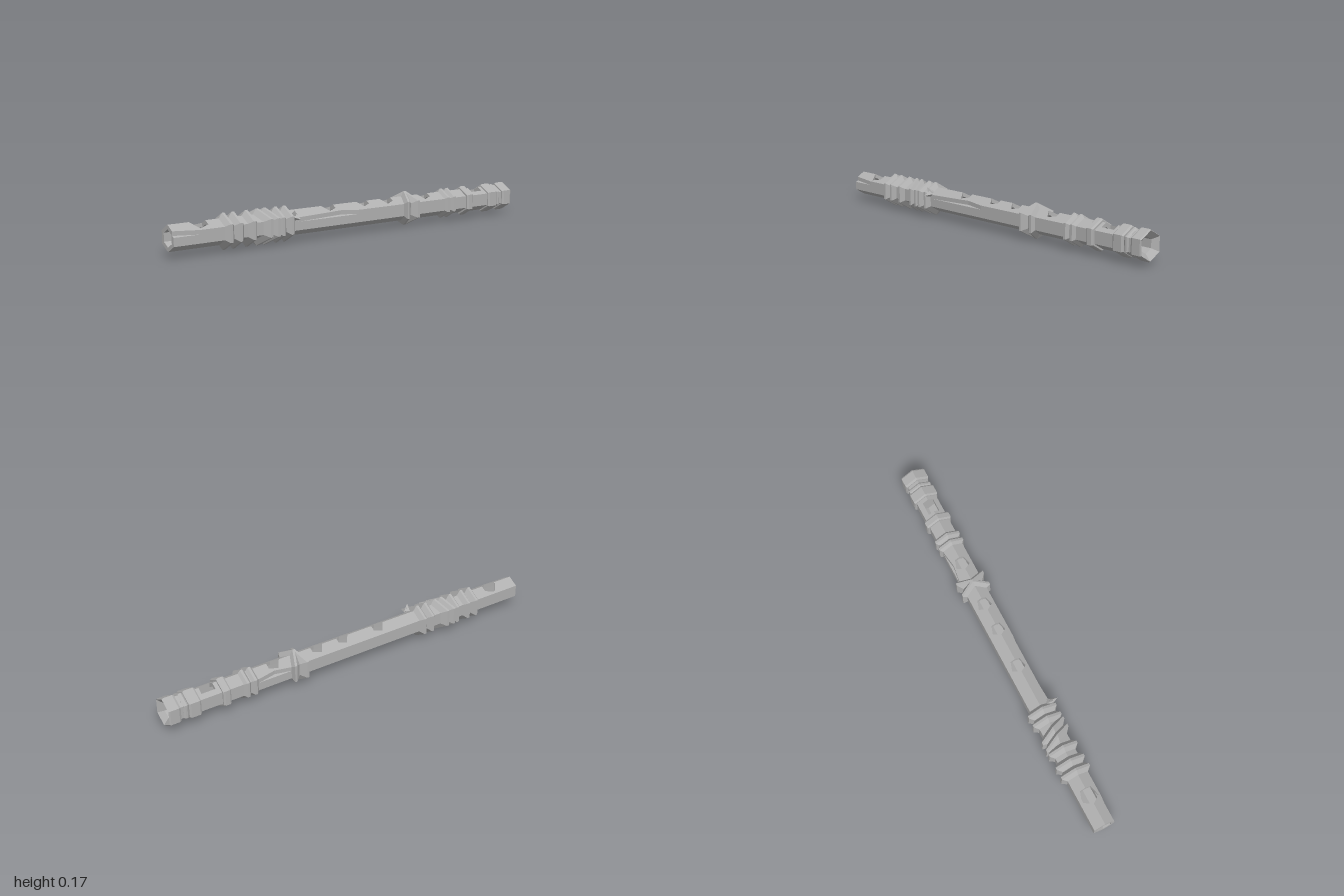
import * as THREE from 'three';

const R = 0.06, BORE = 0.04, SLOPE = Math.tan(Math.PI / 6), SIDE = R * Math.cos(Math.PI / 6);

export function createModel() {
  const model = new THREE.Group();
  const grey = new THREE.MeshStandardMaterial({ color: 0xb0b0b0 });
  grey.name = 'grey wood';
  grey.flatShading = true;

  const add = (name, geometry) => {
    geometry.computeVertexNormals();
    const mesh = new THREE.Mesh(geometry, grey);
    mesh.name = name;
    model.add(mesh);
    return mesh;
  };

  // Lower four walls of the hollow six-sided tube
  const y = R / 2;
  const section = new THREE.Shape([
    [SIDE, y - 0.02], [SIDE, -y], [0, -R], [-SIDE, -y], [-SIDE, y - 0.02],
    [-0.0346, 0.02], [-0.0346, -0.02], [0, -BORE], [0.0346, -0.02], [0.0346, 0.02],
  ].map(p => new THREE.Vector2(...p)));
  const walls = new THREE.ExtrudeGeometry(section, { depth: 1.96, bevelEnabled: false });
  add('lowerWalls', walls.rotateY(Math.PI / 2).translate(-1, 0, 0));

  // Sloping top slabs: five finger holes and a square window bite into the ridge
  const holes = [[-0.85, 0.045], [-0.15, 0.038], [0.055, 0.035], [0.2, 0.037], [0.44, 0.038]];
  const dents = {
    1: [[0, 0], [-0.1, 0.011], [-0.36, 0], [-0.87, 0], [-1, 0.012]],
    '-1': [[0.54, 0], [0.45, 0.012], [0.36, 0], [-1, 0]],
  };
  for (const side of [1, -1]) {
    const pts = [[-1, 0]];
    for (const [x, r] of holes) {
      for (const deg of [180, 108, 36]) {
        const a = deg * Math.PI / 180;
        pts.push([x + r * Math.cos(a), deg === 180 ? 0 : r * Math.sin(a)]);
      }
      pts.push([x + r * Math.cos(Math.PI / 5), 0]);
    }
    pts.push([0.75, 0], [0.75, 0.028], [0.82, 0.028], [0.82, 0], [0.96, 0], [0.96, SIDE]);
    for (const [x, d] of dents[side]) pts.push([x, SIDE - d]);
    const shape = new THREE.Shape(pts.map(([x, s]) => new THREE.Vector2(x, side * s)));
    const slab = new THREE.ExtrudeGeometry(shape, { depth: 0.02, bevelEnabled: false });
    slab.rotateX(Math.PI / 2);
    const pos = slab.attributes.position;
    for (let i = 0; i < pos.count; i++) {
      pos.setY(i, pos.getY(i) + R - SLOPE * Math.abs(pos.getZ(i)));
    }
    add(side > 0 ? 'frontTopSlab' : 'backTopSlab', slab);
  }

  // Six-sided turned part along x from [radius, x] points; slant shears it along z
  const turned = (name, profile, slant = 0) => {
    const g = new THREE.LatheGeometry(profile.map(p => new THREE.Vector2(...p)), 6);
    g.rotateY(Math.PI / 2).rotateZ(-Math.PI / 2);
    const pos = g.attributes.position;
    for (let i = 0; i < pos.count; i++) pos.setX(i, pos.getX(i) + slant * pos.getZ(i));
    return add(name, g);
  };
  const ridge = (name, x, r, half, slant) => turned(name,
    [[0.054, x - half], [r, x - 0.006], [r, x + 0.006], [0.054, x + half]], slant);
  const band = (name, a, b, r) => turned(name,
    [[0.054, a], [r - 0.006, a], [r, a + 0.008], [r, b - 0.008], [r - 0.006, b], [0.054, b]]);

  // Binding ridges near the mouth end, with two slanted turns
  for (const x of [-0.722, -0.672, -0.602, -0.445, -0.397]) ridge('bindingRidge', x, 0.084, 0.028);
  for (const x of [-0.545, -0.505]) ridge('slantedBinding', x, 0.085, 0.026, 0.45);

  // Crossed binding
  for (const k of [0.45, -0.45]) ridge('crossedBinding', 0.322, 0.085, 0.025, k);

  // Slim ridges and flat bands toward the far end
  for (const x of [0.562, 0.602]) ridge('slimRidge', x, 0.075, 0.023);
  band('bandRing', 0.69, 0.73, 0.075);
  band('bandRing', 0.84, 0.9, 0.073);
  band('thinBand', 0.9, 0.925, 0.067);

  // End collar with shallow dished mouth and closed bore
  turned('endCollar', [[0.054, 0.94], [0.066, 0.94], [0.072, 0.95], [0.072, 0.993],
    [0.068, 1], [0.039, 0.975], [0.039, 0.9], [0, 0.9]]);
  turned('borePlug', [[0, 0.825], [0.0405, 0.825], [0.0405, 0.89], [0, 0.89]]);

  // Knot ends sticking out of the binding
  const base = new THREE.Vector3(-0.375, 0.036, 0.048);
  for (const tip of [[-0.37, 0.029, 0.095], [-0.385, 0.068, 0.066]]) {
    const dir = new THREE.Vector3(...tip).sub(base);
    const len = dir.length();
    const cone = add('knotEnd', new THREE.ConeGeometry(0.02, len, 4).translate(0, len / 2, 0));
    cone.position.copy(base);
    cone.quaternion.setFromUnitVectors(new THREE.Vector3(0, 1, 0), dir.normalize());
  }

  model.position.set(0, 0.085, -0.0105);
  const root = new THREE.Group();
  root.name = 'flute';
  root.add(model);
  return root;
}
